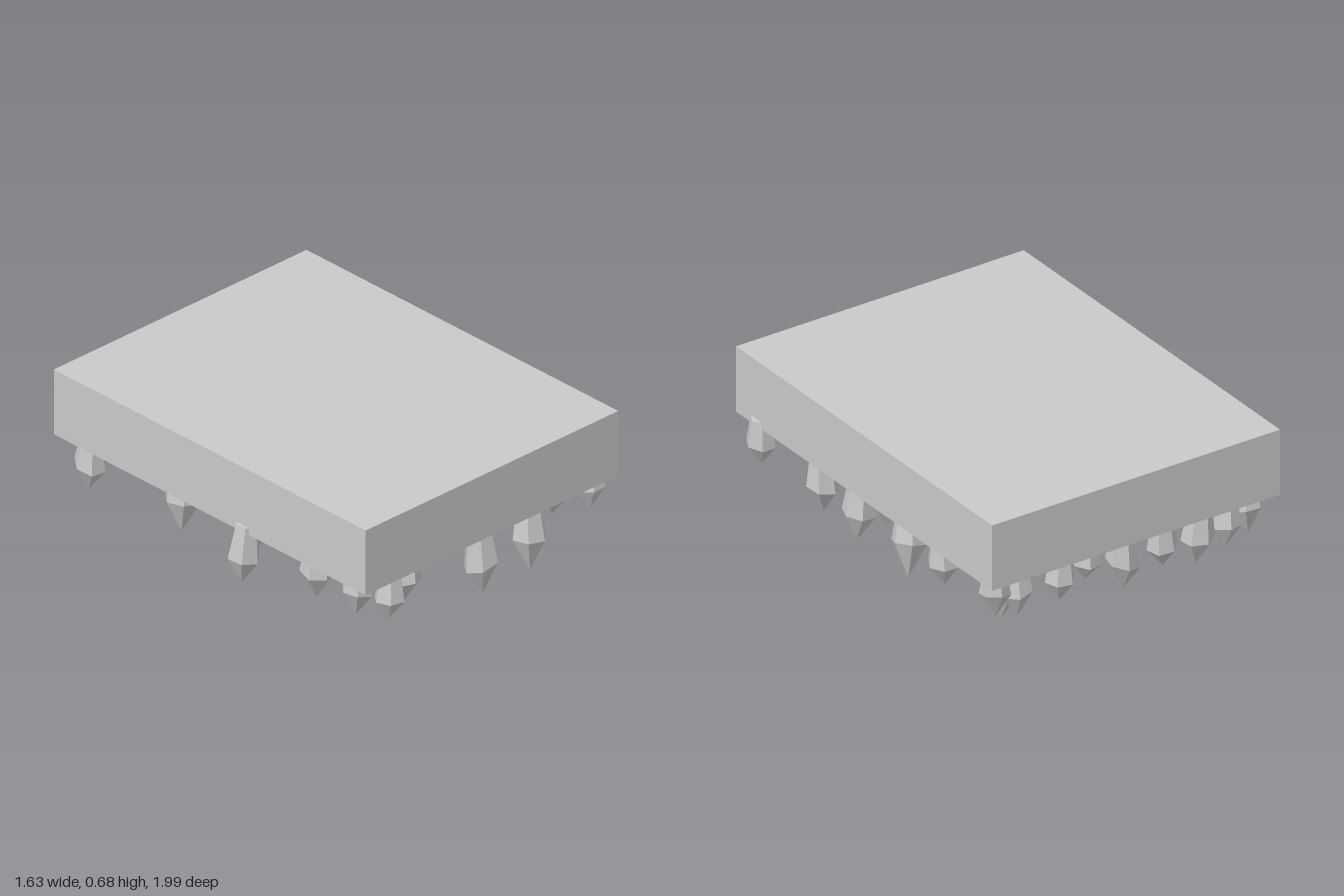
import * as THREE from 'three';

const stone = new THREE.MeshStandardMaterial({ color: 0xc9c9c9, flatShading: true });
stone.name = 'grey stone';

// Small seeded generator for turn, lean and tip variation
function seeded(seed) {
  return () => {
    seed = (seed * 16807) % 2147483647;
    return seed / 2147483647;
  };
}

// Hanging crystals, [x, z, length below the slab], grouped in rows from back to front
const CRYSTALS = [
  [[0.68, -0.88, 0.22], [0.545, -0.73, 0.32], [0.54, -0.83, 0.27], [0.35, -0.91, 0.22], [0.165, -0.84, 0.2],
    [0, -0.89, 0.29], [-0.185, -0.92, 0.22], [-0.39, -0.92, 0.27], [-0.53, -0.92, 0.22], [-0.69, -0.84, 0.24]],
  [[0.7, -0.5, 0.22], [0.275, -0.53, 0.3], [0.33, -0.45, 0.2], [0, -0.52, 0.2], [-0.35, -0.56, 0.29],
    [-0.525, -0.42, 0.34]],
  [[0.65, -0.18, 0.33], [0.56, -0.23, 0.16], [0.3, -0.09, 0.2], [0.105, -0.15, 0.25], [-0.18, -0.07, 0.28],
    [-0.37, -0.19, 0.33], [-0.46, -0.07, 0.35], [-0.295, -0.09, 0.2]],
  [[0.69, 0.14, 0.29], [0.59, 0.12, 0.25], [0.29, 0.24, 0.3], [0.28, 0.1, 0.2], [0.18, 0.2, 0.2],
    [-0.44, 0.25, 0.27], [-0.74, 0.2, 0.27]],
  [[0.7, 0.43, 0.27], [0.33, 0.55, 0.13], [-0.17, 0.46, 0.33], [-0.32, 0.41, 0.2], [-0.565, 0.48, 0.3],
    [-0.5, 0.57, 0.2]],
  [[0.75, 0.83, 0.21], [0.58, 0.77, 0.2], [0.31, 0.9, 0.32], [0, 0.91, 0.32], [0.12, 0.78, 0.14],
    [-0.18, 0.78, 0.15], [-0.405, 0.87, 0.21], [-0.55, 0.92, 0.22], [-0.63, 0.8, 0.23]],
];

// Six-sided crystal: narrow root, wide shoulder, sharp tip
function crystalGeometry(length, rand) {
  const r = 0.05 + length * 0.1;
  const shoulder = -length * (0.47 + rand() * 0.1);
  const profile = [
    [0, -length], [r, shoulder], [r * 0.68, 0.035], [0, 0.035],
  ].map(([x, y]) => new THREE.Vector2(x, y));
  const geo = new THREE.LatheGeometry(profile, 6);
  // Tilt the shoulder ring so the facets differ in height
  const pos = geo.attributes.position;
  const slope = (rand() - 0.5) * 0.7;
  for (let i = 0; i < pos.count; i++) {
    if (Math.abs(pos.getY(i) - shoulder) < 1e-4) pos.setY(i, shoulder + pos.getX(i) * slope);
  }
  const flat = geo.toNonIndexed();
  flat.computeVertexNormals();
  return flat;
}

export function createModel() {
  const model = new THREE.Group();
  model.name = 'crystalCeilingBlock';

  // Slab
  const slab = new THREE.Mesh(new THREE.BoxGeometry(1.54, 0.328, 1.985), stone);
  slab.name = 'slab';
  slab.position.set(0.006, 0.522, -0.007);
  model.add(slab);

  // Crystals hanging below the slab
  const rand = seeded(4721);
  CRYSTALS.forEach((row, n) => {
    const group = new THREE.Group();
    group.name = `crystalRow${n + 1}`;
    for (const [x, z, length] of row) {
      const crystal = new THREE.Mesh(crystalGeometry(length, rand), stone);
      crystal.name = 'crystal';
      crystal.position.set(x, 0.358, z);
      crystal.rotation.set((rand() - 0.5) * 0.14, rand() * Math.PI, (rand() - 0.5) * 0.14, 'XZY');
      group.add(crystal);
    }
    model.add(group);
  });
  return model;
}
